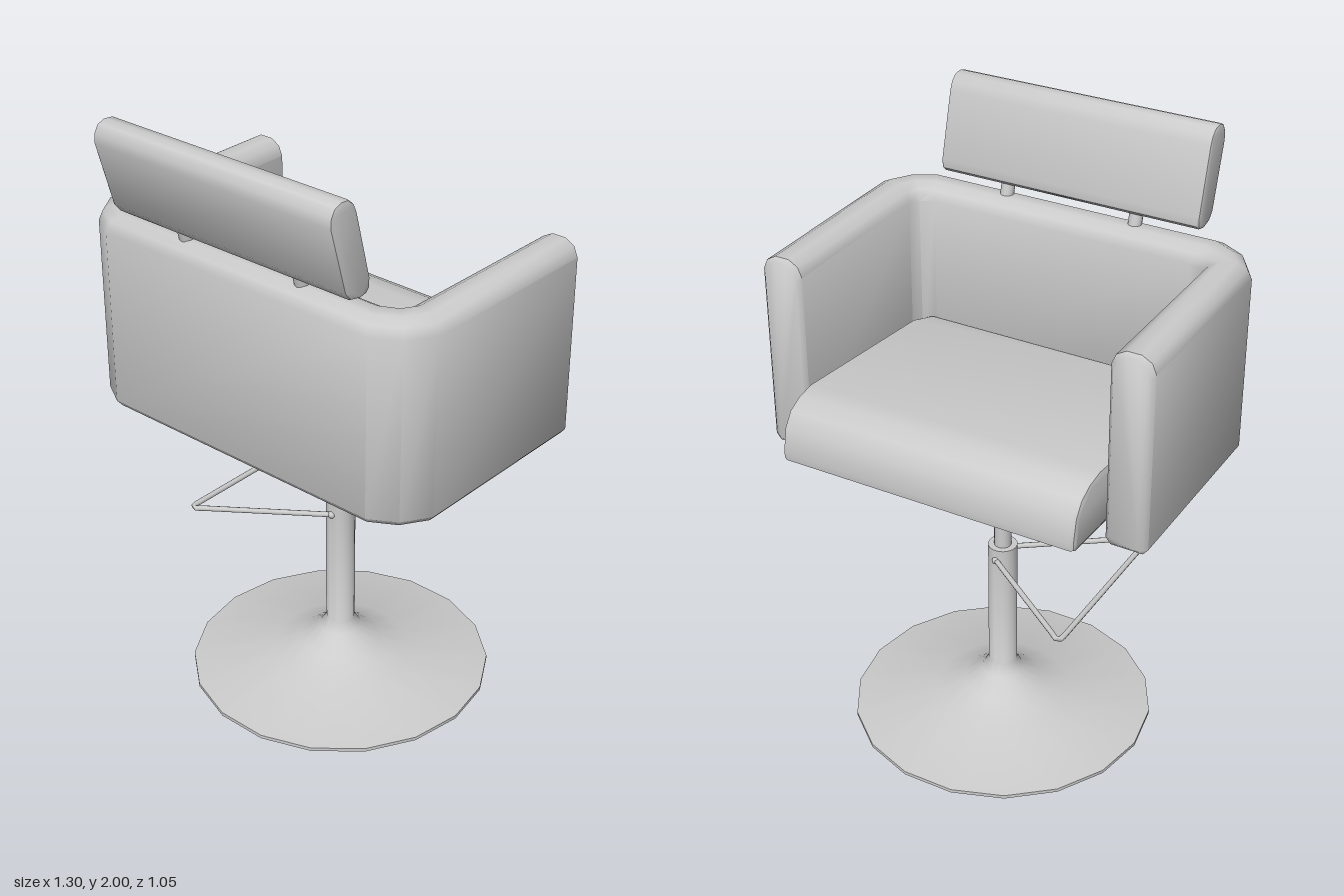
import * as THREE from 'three';
import { toCreasedNormals } from 'three/addons/utils/BufferGeometryUtils.js';
import { RoundedBoxGeometry } from 'three/addons/geometries/RoundedBoxGeometry.js';

const AXIS_Z = -0.03; // the pedestal stands slightly off the centre

export function createModel() {
  const group = new THREE.Group();
  const material = new THREE.MeshStandardMaterial({ color: 0xcccccc });

  const add = (name, geometry, x = 0, y = 0, z = 0) => {
    const mesh = new THREE.Mesh(geometry, material);
    mesh.name = name;
    mesh.position.set(x, y, z);
    group.add(mesh);
    return mesh;
  };
  const lathe = (points, sides, start = 0) => toCreasedNormals(
    new THREE.LatheGeometry(points.map(([r, y]) => new THREE.Vector2(r, y)), sides, start), 0.7);

  // Side profile of [z, y] points, extruded across x with a small bevel
  const acrossX = (profile, width, bevel) => {
    const shape = new THREE.Shape(profile.map(([z, y]) => new THREE.Vector2(z, y)));
    const geometry = new THREE.ExtrudeGeometry(shape, {
      depth: width - 2 * bevel, bevelSize: bevel, bevelThickness: bevel,
      bevelOffset: -bevel, bevelSegments: 2,
    });
    geometry.rotateY(-Math.PI / 2);
    geometry.translate(width / 2 - bevel, 0, 0);
    return geometry;
  };

  // Flared base running up into the lower column
  add('baseAndColumn', lathe([
    [0, 0], [0.5, 0], [0.5, 0.012], [0.23, 0.057], [0.135, 0.1], [0.07, 0.145],
    [0.048, 0.18], [0.048, 0.645], [0, 0.645],
  ], 18, Math.PI / 18), 0, 0, AXIS_Z);

  // Piston, cone and mounting plate under the seat
  add('piston', new THREE.CylinderGeometry(0.028, 0.028, 0.3, 16), 0, 0.77, AXIS_Z);
  add('mountCone', lathe([[0, 0.89], [0.055, 0.89], [0.13, 0.953], [0.13, 0.99], [0, 0.99]], 18), 0, 0, AXIS_Z);
  add('mountPlate', new RoundedBoxGeometry(0.31, 0.1, 0.415, 2, 0.015), 0, 1.02, -0.0775);

  // Triangular height lever made of one bent wire
  const lever = new THREE.CurvePath();
  const v = (x, z) => new THREE.Vector3(x, 0.605, z);
  const bends = [v(0, -0.075), v(-0.345, -0.325), v(-0.377, -0.31), v(-0.377, 0.25), v(-0.345, 0.265), v(0, 0.015)];
  const corners = [v(-0.377, -0.36), v(-0.377, 0.3)];
  lever.add(new THREE.LineCurve3(bends[0], bends[1]));
  lever.add(new THREE.QuadraticBezierCurve3(bends[1], corners[0], bends[2]));
  lever.add(new THREE.LineCurve3(bends[2], bends[3]));
  lever.add(new THREE.QuadraticBezierCurve3(bends[3], corners[1], bends[4]));
  lever.add(new THREE.LineCurve3(bends[4], bends[5]));
  add('heightLever', new THREE.TubeGeometry(lever, 96, 0.009, 8));
  for (const z of [-0.075, 0.015]) add('leverEnd', new THREE.SphereGeometry(0.013, 12, 8), 0, 0.605, z);

  // Seat cushion: rolled front edge, top sloping down to the back
  const seat = acrossX([
    [0.32, 1.03], [0.32, 1.18], [0.305, 1.2], [0.25, 1.205], [-0.34, 1.26], [-0.405, 1.25],
    [-0.455, 1.225], [-0.487, 1.18], [-0.503, 1.1], [-0.5, 1.075], [-0.485, 1.067],
    [-0.34, 1.06], [0.25, 1.02], [0.305, 1.02],
  ], 1, 0.015);
  const p = seat.attributes.position;
  for (let i = 0; i < p.count; i++) { // narrow the back corners
    const t = Math.max(0, (p.getZ(i) - 0.25) / 0.07);
    p.setX(i, p.getX(i) * (1 - 0.1 * t * t));
  }
  add('seatCushion', toCreasedNormals(seat, 0.7));

  add('armsAndBackrest', wrapGeometry());

  // Headrest on two short tilted pins
  add('headrest', toCreasedNormals(acrossX([
    [0.41, 1.692], [0.45, 1.7], [0.472, 1.725], [0.532, 1.935], [0.53, 1.965], [0.515, 1.99],
    [0.488, 2], [0.46, 1.997], [0.437, 1.978], [0.425, 1.95], [0.37, 1.74], [0.372, 1.71], [0.385, 1.697],
  ], 0.9, 0.008), 0.7));
  for (const side of [1, -1]) {
    const pin = add('headrestPin', new THREE.CylinderGeometry(0.022, 0.022, 0.17, 12), 0.225 * side, 1.67, 0.4);
    pin.rotation.x = 0.26;
  }
  return group;
}

// U-shaped padded wall: a rounded section swept round both arms and the back
function wrapGeometry() {
  // section as [fraction from outer to inner face, height]
  const section = [
    [0.12, 1.01], [0, 1.03], [0, 1.61], [0.1, 1.642], [0.33, 1.66], [0.67, 1.66],
    [0.9, 1.642], [1, 1.61], [1, 1.03], [0.88, 1.01],
  ];
  // stations as outer x, z, inner x, z; the first is drawn in to bevel the arm end
  const half = [
    [0.65, -0.34, 0.513, -0.34], [0.65, -0.328, 0.513, -0.328], [0.65, 0.32, 0.513, 0.27],
    [0.595, 0.405, 0.495, 0.303], [0.51, 0.455, 0.45, 0.32],
  ];
  const stations = [...half, ...half.map(([a, b, c, d]) => [-a, b, -c, d]).reverse()];
  const n = section.length, last = stations.length - 1;
  const positions = [], index = [];
  stations.forEach(([ox, oz, ix, iz], i) => {
    const end = i === 0 || i === last;
    for (const [f, h] of section) {
      const t = end ? 0.5 + (f - 0.5) * 0.83 : f;
      const y = end ? 1.335 + (h - 1.335) * 0.96 : h;
      positions.push(ox + (ix - ox) * t, y, oz + (iz - oz) * t);
    }
  });
  for (let i = 0; i < last; i++) {
    for (let j = 0; j < n; j++) {
      const a = i * n + j, b = i * n + (j + 1) % n;
      index.push(a, b, a + n, b, b + n, a + n);
    }
  }
  for (let j = 1; j < n - 1; j++) { // end caps
    index.push(0, j + 1, j, last * n, last * n + j, last * n + j + 1);
  }
  const geometry = new THREE.BufferGeometry();
  geometry.setAttribute('position', new THREE.Float32BufferAttribute(positions, 3));
  geometry.setIndex(index);
  return toCreasedNormals(geometry, 0.8);
}
